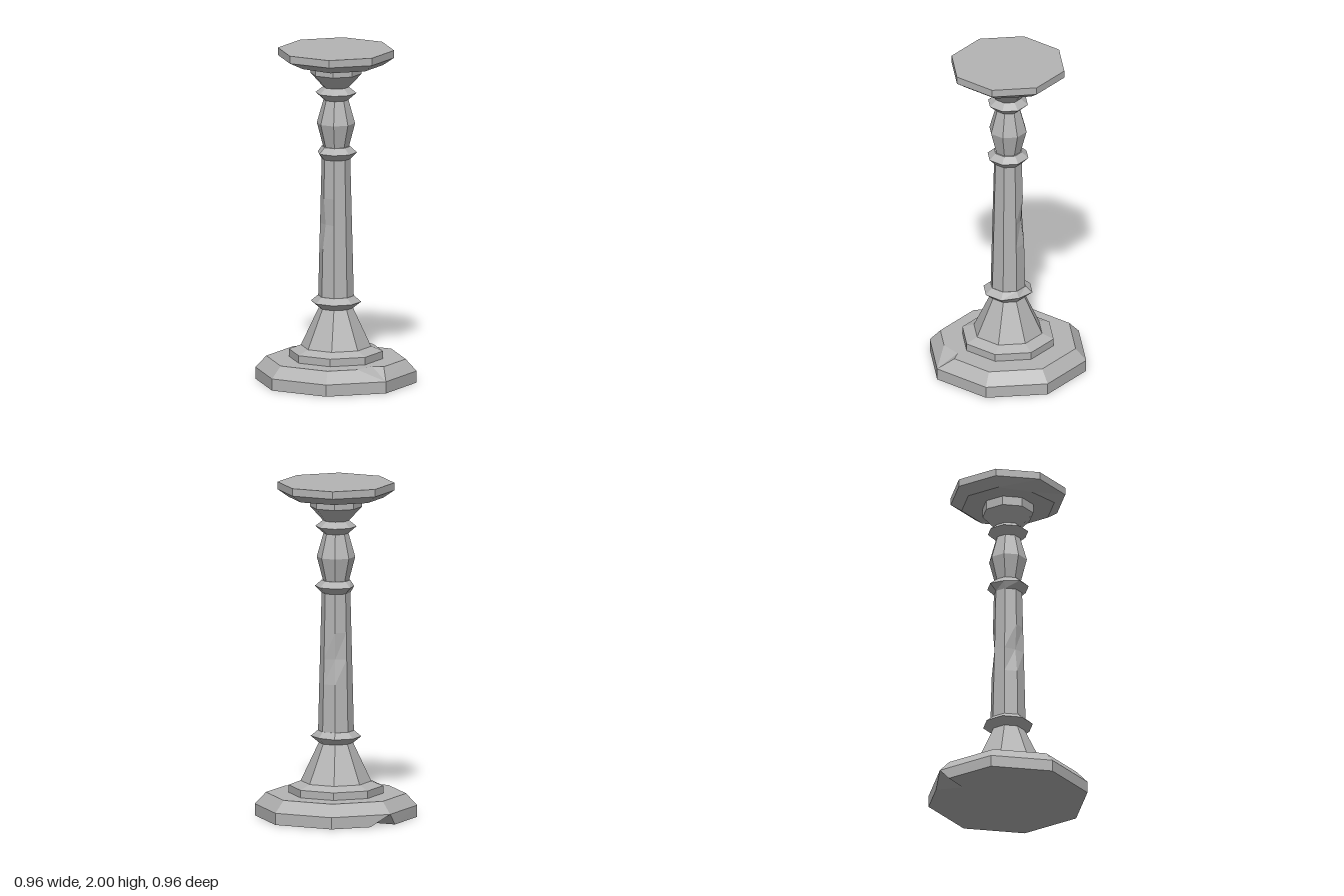
import * as THREE from 'three';

const SIDES = 8;
const polar = (i, r, y) => {
  const a = (i / SIDES) * Math.PI * 2; // corner 0 faces +z, corner 2 faces +x
  return [r * Math.sin(a), y, r * Math.cos(a)];
};

// Octagonal ring; chips maps a corner number to its own radius
const ring = (r, y, chips = {}) =>
  Array.from({ length: SIDES }, (_, i) => polar(i, chips[i] ?? r, y));

// Closed faceted solid through rings of equal point count, listed bottom to top
function loft(rings) {
  const pos = [];
  const p = new THREE.Vector3(), q = new THREE.Vector3(), s = new THREE.Vector3();
  const tri = (a, b, c) => {
    s.fromArray(a);
    p.fromArray(b).sub(s);
    q.fromArray(c).sub(s);
    if (p.cross(q).length() > 1e-7) pos.push(...a, ...b, ...c);
  };
  const n = rings[0].length;
  const bottom = rings[0], top = rings[rings.length - 1];
  const low = [0, bottom[0][1], 0], high = [0, top[0][1], 0];
  for (let i = 0; i < n; i++) {
    const j = (i + 1) % n;
    for (let k = 0; k < rings.length - 1; k++) {
      const a = rings[k], b = rings[k + 1];
      tri(a[i], a[j], b[j]);
      tri(a[i], b[j], b[i]);
    }
    tri(low, bottom[j], bottom[i]);
    tri(high, top[i], top[j]);
  }
  const g = new THREE.BufferGeometry();
  g.setAttribute('position', new THREE.Float32BufferAttribute(pos, 3));
  g.computeVertexNormals();
  return g;
}

// Base ring: chipped corners get three points (before, corner, after)
function baseRing(r, y, chips = {}) {
  return ring(r, y).flatMap((c, i) => {
    if (i !== 1 && i !== 5) return [c];
    return chips[i] ? chips[i].map(([x, z]) => [x, y, z]) : [c, c, c];
  });
}

export function createModel() {
  const group = new THREE.Group();
  const stone = new THREE.MeshStandardMaterial({ color: 0xb4b4b4 });
  stone.name = 'stone grey';
  stone.flatShading = true;

  const add = (name, rings) => {
    const mesh = new THREE.Mesh(loft(rings), stone);
    mesh.name = name;
    group.add(mesh);
  };

  // Foot slab, broken at one upper and one lower corner
  add('base', [
    baseRing(0.48, 0, { 5: [[-0.365, -0.28], [-0.226, -0.226], [-0.225, -0.387]].reverse() }),
    baseRing(0.48, 0.07),
    baseRing(0.415, 0.14, { 1: [[0.17, 0.345], [0.245, 0.24], [0.314, 0.24]] }),
  ]);

  // Stepped foot and flared pedestal
  add('plinth', [ring(0.28, 0.13), ring(0.28, 0.185), ring(0.21, 0.212)]);
  add('flare', [ring(0.21, 0.21), ring(0.1, 0.445)]);

  // Lower collar with one knocked corner
  add('lowerCollar', [ring(0.1, 0.44), ring(0.15, 0.48, { 3: 0.132 }), ring(0.108, 0.515)]);

  // Tapering shaft with two dented edges
  add('shaft', [
    ring(0.106, 0.51),
    ring(0.099, 0.8),
    ring(0.095, 0.95, { 4: 0.079, 7: 0.078 }),
    ring(0.091, 1.11),
    ring(0.085, 1.345),
  ]);

  // Upper collar, turned bulb and neck ring
  add('upperCollar', [ring(0.085, 1.34), ring(0.125, 1.38, { 6: 0.108 }), ring(0.085, 1.415)]);
  add('bulb', [ring(0.076, 1.41), ring(0.114, 1.555), ring(0.073, 1.7)]);
  add('neckRing', [ring(0.073, 1.695), ring(0.122, 1.738), ring(0.075, 1.775)]);

  // Capital and top slab
  add('capital', [ring(0.075, 1.77), ring(0.153, 1.855), ring(0.153, 1.915)]);
  add('topSlab', [
    ring(0.28, 1.91, { 7: 0.25 }),
    ring(0.346, 1.955),
    ring(0.346, 2),
  ]);

  return group;
}
